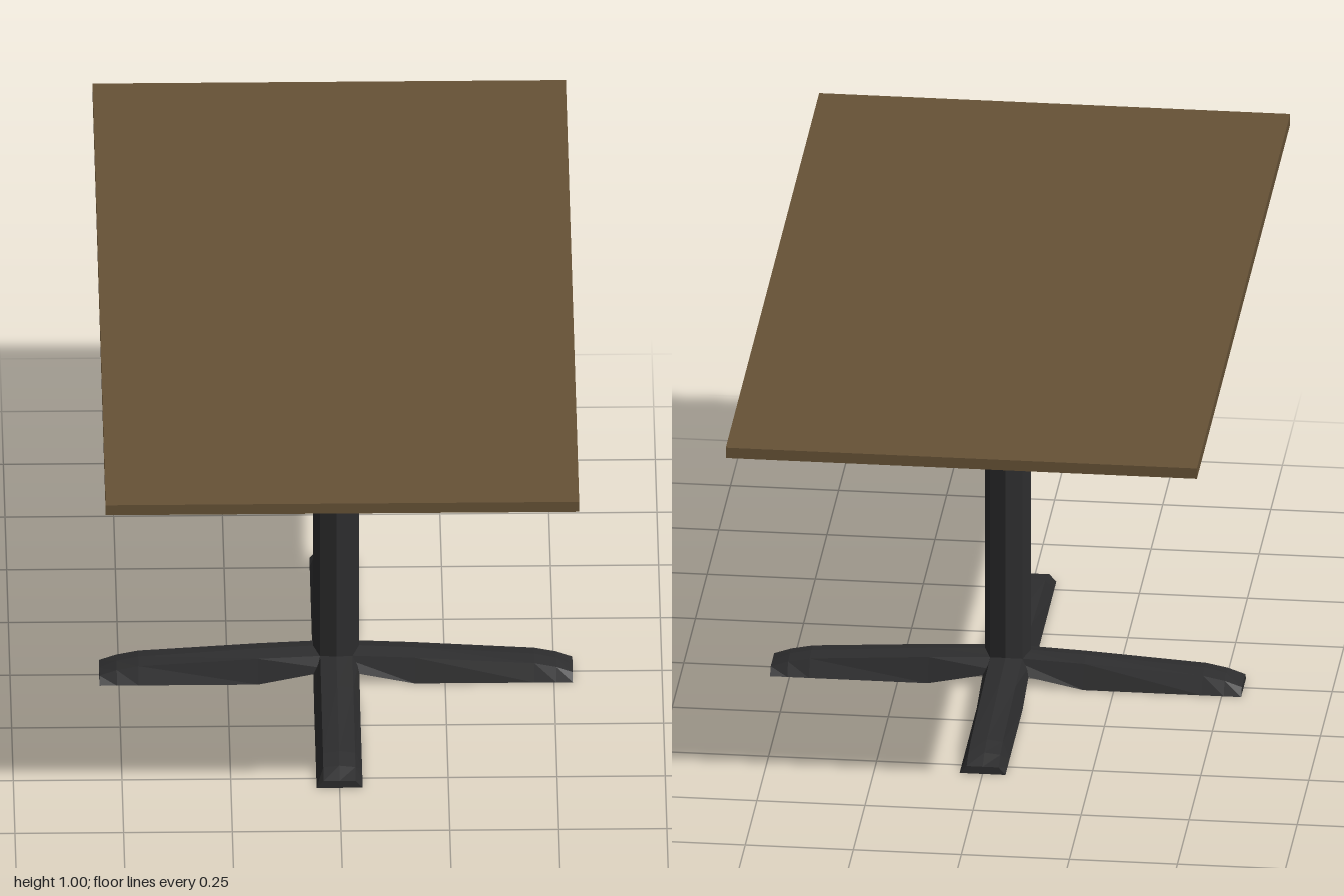
import * as THREE from 'three';

// Stations along a foot: distance, underside y, shoulder y, ridge y
const STATIONS = [
  [0, 0.037, 0.067, 0.075],
  [0.18, 0, 0.059, 0.066],
  [0.455, 0, 0.042, 0.047],
  [0.505, 0, 0.032, 0.036],
  [0.545, 0, 0.018, 0.018],
];
const BASE_HALF = 0.053;
const TOP_HALF = 0.037;

// Foot pointing along +z, lofted through five-cornered sections
function footGeometry() {
  const positions = [];
  const index = [];
  for (const [z, low, shoulder, ridge] of STATIONS) {
    positions.push(-BASE_HALF, low, z, BASE_HALF, low, z, TOP_HALF, shoulder, z, 0, ridge, z, -TOP_HALF, shoulder, z);
  }
  const n = 5;
  for (let s = 0; s < STATIONS.length - 1; s++) {
    for (let k = 0; k < n; k++) {
      const a = s * n + k;
      const b = s * n + (k + 1) % n;
      index.push(a, b, b + n, a, b + n, a + n);
    }
  }
  // End cap
  const e = (STATIONS.length - 1) * n;
  for (let k = 1; k < n - 1; k++) index.push(e, e + k, e + k + 1);
  // Reverse the side winding if needed so that faces point outwards
  const sideCount = (STATIONS.length - 1) * n * 6;
  const p = (i) => new THREE.Vector3().fromArray(positions, index[i] * 3);
  const normal = p(1).sub(p(0)).cross(p(2).sub(p(0)));
  if (normal.y > 0) {
    for (let i = 0; i < sideCount; i += 3) [index[i + 1], index[i + 2]] = [index[i + 2], index[i + 1]];
  }
  const geometry = new THREE.BufferGeometry();
  geometry.setAttribute('position', new THREE.Float32BufferAttribute(positions, 3));
  geometry.setIndex(index);
  const flat = geometry.toNonIndexed();
  flat.computeVertexNormals();
  return flat;
}

export function createModel() {
  const model = new THREE.Group();
  model.name = 'pedestalTable';
  const wood = new THREE.MeshStandardMaterial({ color: 0x665236, flatShading: true });
  const metal = new THREE.MeshStandardMaterial({ color: 0x2d2d2e, flatShading: true });

  function add(name, geometry, material, y = 0) {
    const mesh = new THREE.Mesh(geometry, material);
    mesh.name = name;
    mesh.position.y = y;
    model.add(mesh);
    return mesh;
  }

  // Rectangular top
  add('tableTop', new THREE.BoxGeometry(1.09, 0.026, 2), wood, 0.987);

  // Eight-sided column
  add('column', new THREE.CylinderGeometry(0.053, 0.053, 0.925, 8), metal, 0.5125);

  // Four feet in a cross
  const foot = footGeometry();
  ['frontFoot', 'leftFoot', 'backFoot', 'rightFoot'].forEach((name, i) => {
    add(name, foot, metal).rotation.y = i * Math.PI / 2;
  });

  return model;
}
